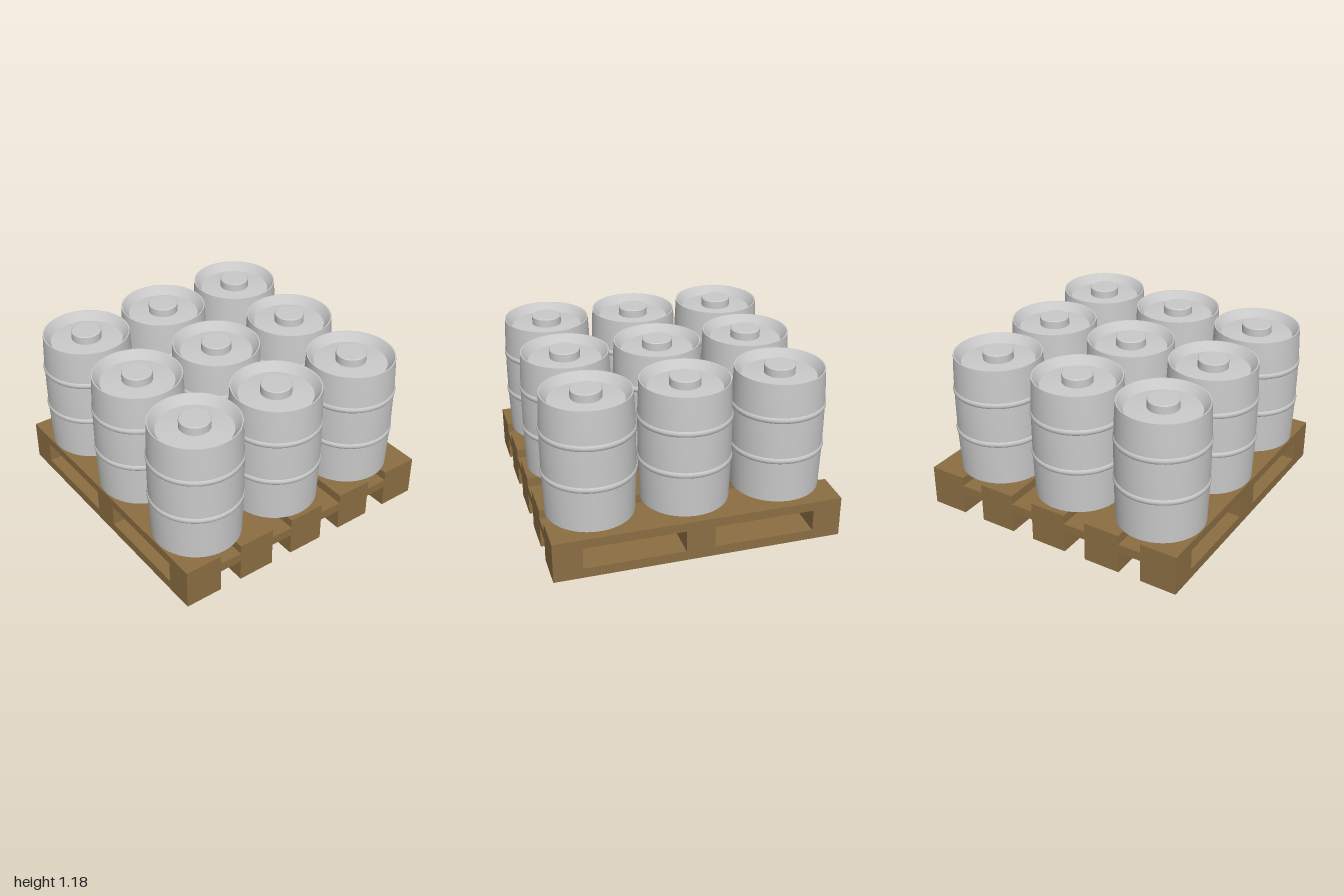
import * as THREE from 'three';
import { toCreasedNormals } from 'three/addons/utils/BufferGeometryUtils.js';

const wood = new THREE.MeshStandardMaterial({ color: 0x8b6e43 });
wood.name = 'wood';
const steel = new THREE.MeshStandardMaterial({ color: 0xcacaca });
steel.name = 'steel';

// Box given by its centre in x and z, its size, and its bottom and top heights
function board(name, x, z, width, depth, bottom, top) {
  const mesh = new THREE.Mesh(new THREE.BoxGeometry(width, top - bottom, depth), wood);
  mesh.position.set(x, (bottom + top) / 2, z);
  mesh.name = name;
  return mesh;
}

function createPallet() {
  const pallet = new THREE.Group();
  pallet.name = 'pallet';
  const columns = [-0.9, 0, 0.9];
  const rows = [[-0.862, 0.266], [-0.432, 0.266], [0, 0.266], [0.428, 0.266], [0.858, 0.266]];
  for (const [z, depth] of rows) {
    pallet.add(board('topSlat', 0, z, 2, depth, 0.225, 0.29));
    pallet.add(board('bottomSlat', 0, z, 2, depth, 0, 0.07));
    for (const x of columns) pallet.add(board('spacerBlock', x, z, 0.2, depth, 0.07, 0.16));
  }
  // Stringers run front to back under the top slats
  for (const x of columns) pallet.add(board('stringer', x, -0.002, 0.2, 1.986, 0.16, 0.225));
  return pallet;
}

// Barrel outline from the base, over the two rolling hoops and rim, into the sunken lid
const barrelProfile = [
  [0, 0], [0.304, 0], [0.309, 0.15], [0.314, 0.295],
  [0.320, 0.303], [0.322, 0.315], [0.320, 0.327], [0.314, 0.335],
  [0.315, 0.465], [0.314, 0.595],
  [0.320, 0.603], [0.322, 0.615], [0.320, 0.627], [0.314, 0.635],
  [0.310, 0.75], [0.304, 0.87], [0.296, 0.87],
  [0.252, 0.81], [0.105, 0.825], [0, 0.825],
];
const bungProfile = [[0.105, 0.82], [0.105, 0.88], [0.099, 0.886], [0, 0.886]];

function lathe(profile) {
  const points = profile.map(([r, y]) => new THREE.Vector2(r, y));
  return toCreasedNormals(new THREE.LatheGeometry(points, 64), 0.6);
}

export function createModel() {
  const model = new THREE.Group();
  model.name = 'barrelsOnPallet';
  model.add(createPallet());

  const bodyGeometry = lathe(barrelProfile);
  const bungGeometry = lathe(bungProfile);
  for (const x of [-0.655, 0.004, 0.664]) {
    for (const z of [-0.622, 0.031, 0.679]) {
      const barrel = new THREE.Group();
      barrel.name = 'barrel';
      const body = new THREE.Mesh(bodyGeometry, steel);
      body.name = 'barrelBody';
      const bung = new THREE.Mesh(bungGeometry, steel);
      bung.name = 'barrelBung';
      barrel.add(body, bung);
      barrel.position.set(x, 0.29, z);
      model.add(barrel);
    }
  }
  return model;
}
